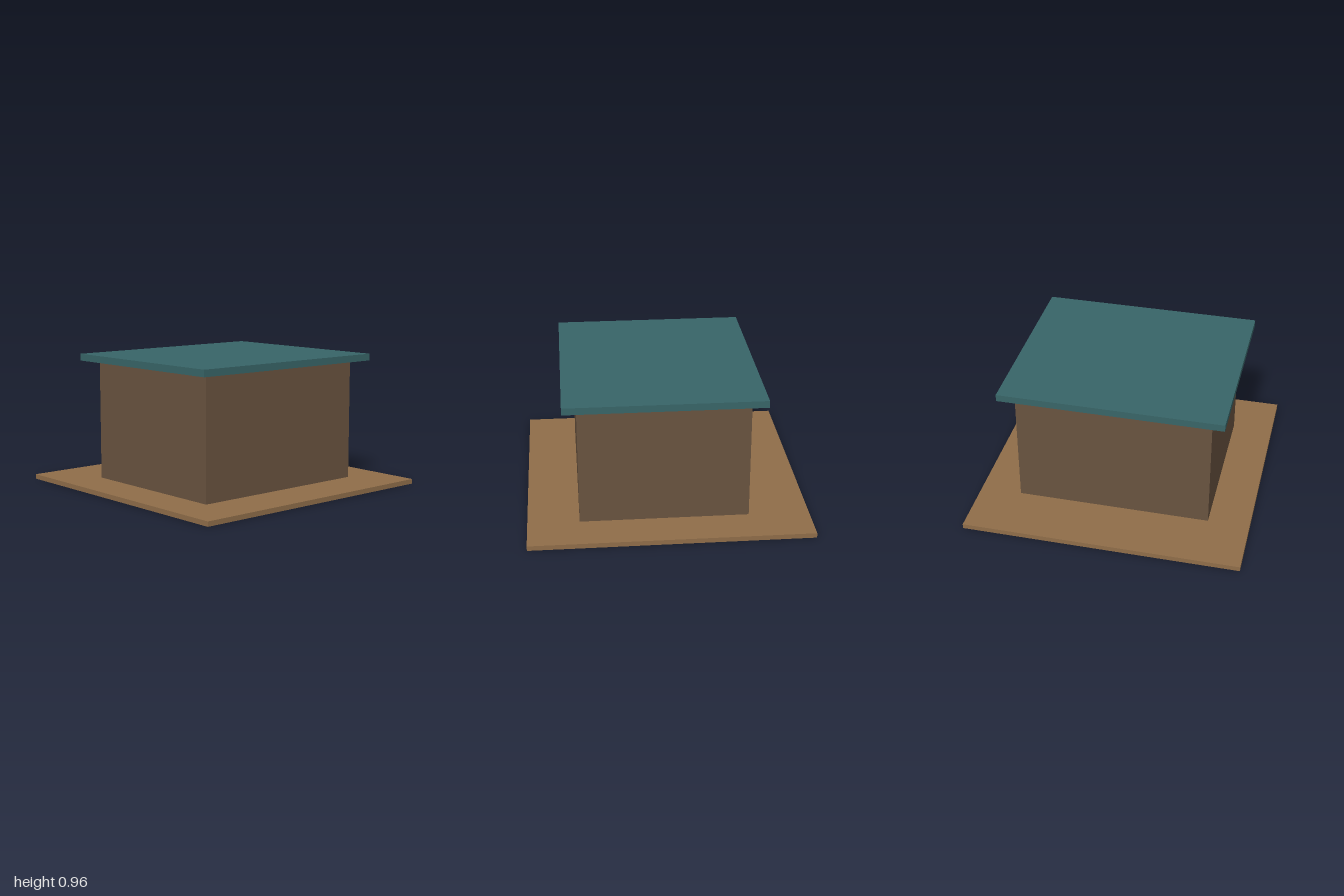
import * as THREE from 'three';

export function createModel() {
  const model = new THREE.Group();
  model.name = 'hut';

  // Box resting at height y0, centred on x and on the given z
  function addSlab(name, color, width, depth, y0, y1, z) {
    const mesh = new THREE.Mesh(
      new THREE.BoxGeometry(width, y1 - y0, depth),
      new THREE.MeshStandardMaterial({ color })
    );
    mesh.name = name;
    mesh.position.set(0, (y0 + y1) / 2, z);
    model.add(mesh);
  }

  const houseZ = 0.033; // the house sits slightly forward on its plot

  // Ground plate
  addSlab('groundPlate', 0x8f6d49, 2, 2, 0, 0.035, 0);
  // Walls, sunk into the plate just above its underside
  addSlab('walls', 0x69533f, 1.4, 1.2, 0.003, 0.9, houseZ);
  // Flat overhanging roof, floating just clear of the walls
  addSlab('roof', 0x386568, 1.6, 1.4, 0.912, 0.962, houseZ);

  return model;
}
